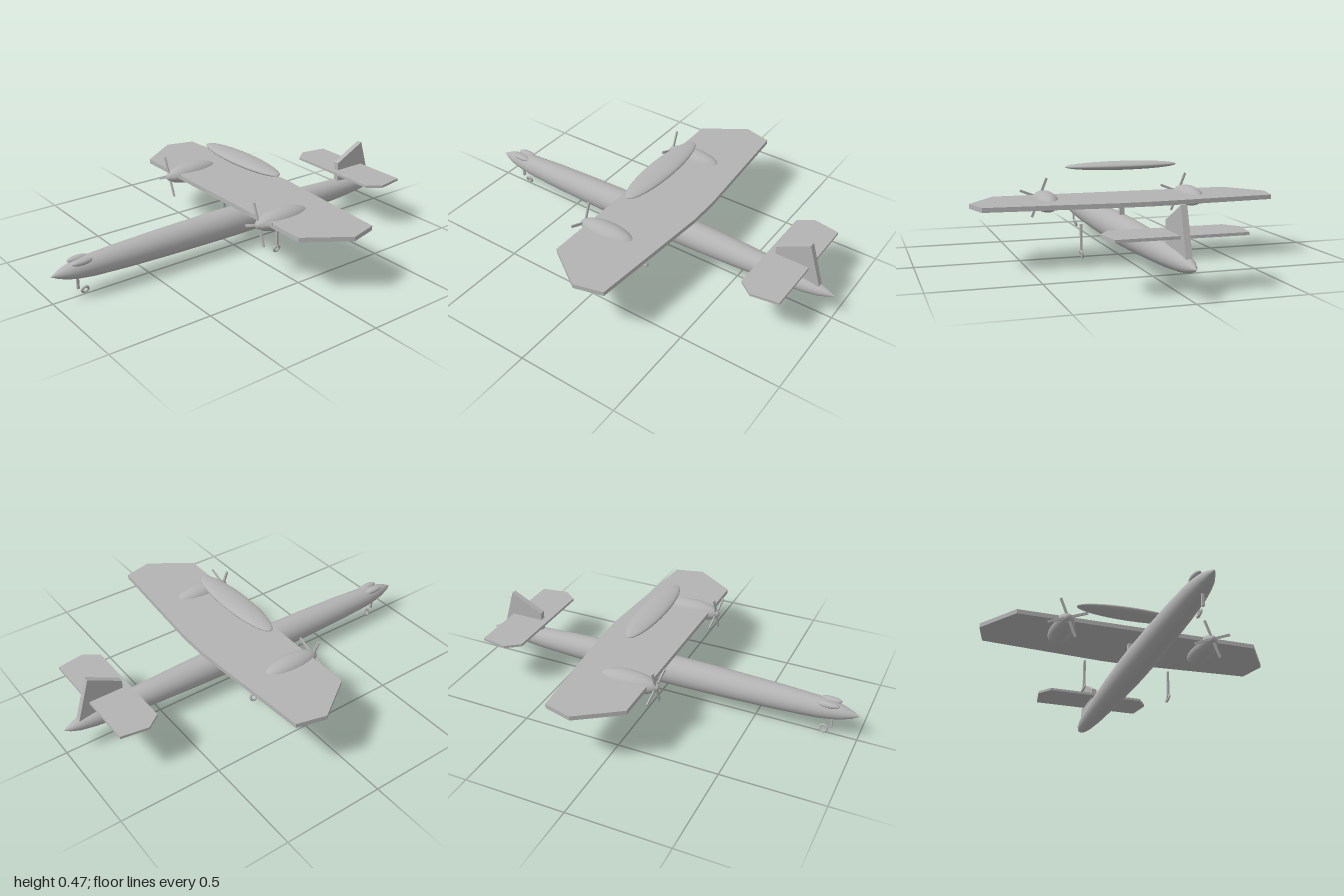
import * as THREE from 'three';

export function createModel() {
  const model = new THREE.Group();
  model.name = 'aircraft';
  const grey = new THREE.MeshStandardMaterial({ color: 0xb3b3b3 });
  grey.name = 'airframe grey';

  const add = (name, geometry, x = 0, y = 0, z = 0, parent = model) => {
    const mesh = new THREE.Mesh(geometry, grey);
    mesh.name = name;
    mesh.position.set(x, y, z);
    parent.add(mesh);
    return mesh;
  };
  const ellipsoid = (rx, ry, rz) => new THREE.SphereGeometry(1, 32, 20).scale(rx, ry, rz);
  const extrude = (points, depth) => new THREE.ExtrudeGeometry(
    new THREE.Shape(points.map(([a, b]) => new THREE.Vector2(a, b))),
    { depth, bevelEnabled: false });

  // Horizontal plate from its right half outline [x, z], mirrored across x = 0
  const plate = (half, depth) => {
    const right = half.map(([x, z]) => [x, -z]);
    const left = half.map(([x, z]) => [-x, -z]).reverse();
    return extrude([...right, ...left], depth).rotateX(-Math.PI / 2);
  };

  // Fuselage: [radius, z] from tail to nose
  const profile = [
    [0, -1], [0.016, -0.965], [0.029, -0.925], [0.041, -0.85], [0.053, -0.7],
    [0.062, -0.5], [0.069, -0.3], [0.074, -0.05], [0.074, 0.1], [0.069, 0.4],
    [0.062, 0.63], [0.053, 0.8], [0.044, 0.87], [0.034, 0.92], [0.018, 0.965], [0, 1],
  ].map(([r, z]) => new THREE.Vector2(r, z));
  add('fuselage', new THREE.LatheGeometry(profile, 32).rotateX(Math.PI / 2), 0, 0.138, 0);

  // Wing on a short pylon, tailplane and fin
  add('wing', plate([[0.61, 0.105], [0.75, -0.1], [0.713, -0.242], [0.08, -0.29]], 0.022), 0, 0.283, 0);
  add('wingPylon', new THREE.BoxGeometry(0.024, 0.09, 0.024), 0, 0.245, -0.048);
  add('tailplane', plate([[0.26, -0.657], [0.312, -0.728], [0.29, -0.862]], 0.013), 0, 0.237, 0);
  const fin = [[-0.692, 0.16], [-0.692, 0.29], [-0.858, 0.375], [-0.926, 0.155]];
  add('fin', extrude(fin, 0.028).rotateY(-Math.PI / 2), 0.014, 0, 0);

  // Radome above the wing
  add('radome', ellipsoid(0.283, 0.021, 0.065), 0, 0.454, -0.05);

  // Landing gear leg with a tilted ring wheel
  const gear = (name, x, z, top, bottom, wheelY, wheelZ) => {
    const group = new THREE.Group();
    group.name = name;
    model.add(group);
    add('strut', new THREE.BoxGeometry(0.011, top - bottom, 0.011), x, (top + bottom) / 2, z, group);
    const ring = new THREE.TorusGeometry(0.0165, 0.0058, 10, 20).rotateY(Math.PI / 2);
    add('wheel', ring, x - 0.002, wheelY, wheelZ, group).rotation.z = -0.33;
  };
  gear('noseGear', 0, 0.872, 0.115, 0.04, 0.024, 0.837);

  for (const side of [1, -1]) {
    const label = side > 0 ? 'left' : 'right';
    // Canopy bubbles
    add(label + 'Canopy', ellipsoid(0.019, 0.015, 0.053), side * 0.023, 0.178, 0.853);
    // Engines
    const x = side * 0.37;
    add(label + 'Nacelle', ellipsoid(0.057, 0.05, 0.15), x, 0.286, 0);
    // Four-bladed propeller
    const propeller = new THREE.Group();
    propeller.name = label + 'Propeller';
    propeller.position.set(x, 0.286, 0.134);
    model.add(propeller);
    add('spinner', ellipsoid(0.02, 0.02, 0.018), 0, 0, 0, propeller);
    for (let i = 0; i < 4; i++) {
      const blade = new THREE.BoxGeometry(0.012, 0.104, 0.007).translate(0, 0.052, 0);
      add('blade', blade, 0, 0, 0, propeller).rotation.z = 0.38 + i * Math.PI / 2;
    }
    gear(label + 'MainGear', side * 0.22, -0.102, 0.184, 0.05, 0.038, -0.102);
  }
  return model;
}
